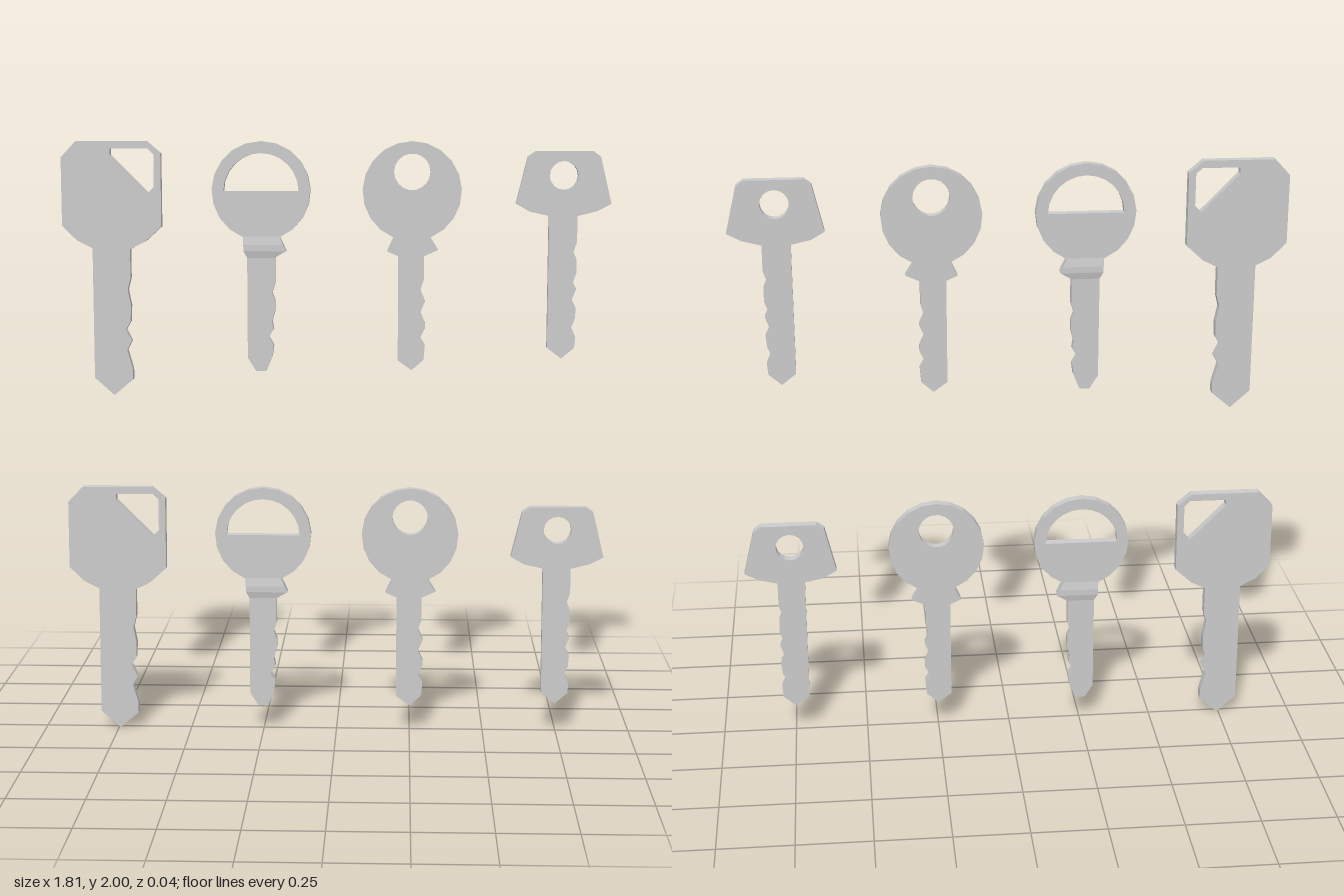
import * as THREE from 'three';

const HALF = 0.016; // half thickness of a key blank
const material = new THREE.MeshStandardMaterial({ color: 0xcccccc, flatShading: true });

// Points along an arc, angles in degrees
function arc(cx, cy, r, from, to, steps) {
  return Array.from({ length: steps + 1 }, (_, i) => {
    const a = THREE.MathUtils.degToRad(from + (to - from) * i / steps);
    return [cx + r * Math.cos(a), cy + r * Math.sin(a)];
  });
}
const circle = (cx, cy, r, n) => arc(cx, cy, r, 0, 360, n).slice(0, n);
const toVectors = pts => pts.map(([x, y]) => new THREE.Vector2(x, y));

// Flat plate with one hole
function plate(outline, hole) {
  const shape = new THREE.Shape(toVectors(outline));
  shape.holes.push(new THREE.Path(toVectors(hole)));
  const geo = new THREE.ExtrudeGeometry(shape, { depth: 2 * HALF, bevelEnabled: false });
  return geo.translate(0, 0, -HALF);
}

// Loft of rectangular sections [y, left, right, half depth], listed from bottom to top
function loft(rows) {
  const pos = [], idx = [];
  for (const [y, l, r, d] of rows) pos.push(l, y, d, r, y, d, r, y, -d, l, y, -d);
  for (let i = 0; i < rows.length - 1; i++) {
    for (let k = 0; k < 4; k++) {
      const a = i * 4 + k, b = i * 4 + (k + 1) % 4;
      idx.push(a, b, b + 4, a, b + 4, a + 4);
    }
  }
  const geo = new THREE.BufferGeometry();
  geo.setAttribute('position', new THREE.Float32BufferAttribute(pos, 3));
  geo.setIndex(idx);
  geo.computeVertexNormals();
  return geo;
}

// Outlines run anticlockwise: head, left edge, tip, then up the cut edge
const octagonKey = plate([
  [-0.685, 1.645], [-0.635, 1.67], [-0.58, 1.72], [-0.58, 1.96], [-0.627, 2], [-0.86, 2],
  [-0.91, 1.947], [-0.91, 1.722], [-0.86, 1.673], [-0.81, 1.648],
  [-0.81, 1.215], [-0.745, 1.157], [-0.682, 1.21],
  [-0.682, 1.245], [-0.7, 1.31], [-0.684, 1.34], [-0.703, 1.378], [-0.687, 1.405],
  [-0.685, 1.458], [-0.695, 1.51], [-0.685, 1.55],
], [
  [-0.747, 1.976], [-0.622, 1.976], [-0.603, 1.957], [-0.603, 1.85], [-0.623, 1.83], [-0.747, 1.955],
]);

const collarKey = plate([
  [-0.204, 1.618], [-0.167, 1.64],
  ...arc(-0.249, 1.837, 0.163, -68, 248, 18),
  [-0.308, 1.64], [-0.296, 1.618],
  [-0.296, 1.285], [-0.268, 1.24], [-0.235, 1.24], [-0.214, 1.29],
  [-0.209, 1.327], [-0.225, 1.354], [-0.209, 1.38], [-0.214, 1.407], [-0.204, 1.443],
  [-0.204, 1.476], [-0.214, 1.502], [-0.204, 1.534],
], arc(-0.249, 1.837, 0.124, 0, 180, 12));

const collarRidge = loft([
  [1.618, -0.296, -0.204, HALF],
  [1.64, -0.308, -0.167, 0.021],
  [1.66, -0.308, -0.176, 0.021],
  [1.688, -0.308, -0.19, HALF],
]);

const roundKey = plate([
  [0.289, 1.624], [0.336, 1.645],
  ...arc(0.249, 1.837, 0.163, -68, 248, 18),
  [0.167, 1.64], [0.204, 1.624],
  [0.204, 1.278], [0.25, 1.245], [0.29, 1.28],
  [0.294, 1.327], [0.278, 1.354], [0.294, 1.385], [0.294, 1.402],
  [0.278, 1.438], [0.294, 1.475], [0.278, 1.512], [0.289, 1.545],
], circle(0.249, 1.9, 0.06, 18));

const wedgeKey = plate([
  [0.792, 1.757], [0.855, 1.773], [0.902, 1.797], [0.865, 1.95], [0.84, 1.968],
  [0.653, 1.968], [0.627, 1.95], [0.59, 1.797], [0.635, 1.771], [0.699, 1.757],
  [0.699, 1.322], [0.746, 1.286], [0.789, 1.322],
  [0.792, 1.359], [0.778, 1.39], [0.789, 1.417], [0.792, 1.454], [0.778, 1.481],
  [0.792, 1.518], [0.781, 1.539], [0.792, 1.571], [0.792, 1.613], [0.781, 1.64], [0.792, 1.672],
], circle(0.746, 1.889, 0.047, 16));

// Each key with the drop to its copy in the lower row
const KEYS = [
  { name: 'octagonHeadKey', drop: 1.157, parts: { keyBlank: octagonKey } },
  { name: 'collarKey', drop: 1.157, parts: { keyBlank: collarKey, collarRidge } },
  { name: 'roundHeadKey', drop: 1.157, parts: { keyBlank: roundKey } },
  { name: 'wedgeHeadKey', drop: 1.186, parts: { keyBlank: wedgeKey } },
];

export function createModel() {
  const model = new THREE.Group();
  model.name = 'keySet';
  for (const row of ['upper', 'lower']) {
    const rowGroup = new THREE.Group();
    rowGroup.name = row + 'Row';
    for (const { name, drop, parts } of KEYS) {
      const key = new THREE.Group();
      key.name = name;
      key.position.y = row === 'lower' ? -drop : 0;
      for (const [part, geo] of Object.entries(parts)) {
        const mesh = new THREE.Mesh(geo, material);
        mesh.name = part;
        key.add(mesh);
      }
      rowGroup.add(key);
    }
    model.add(rowGroup);
  }
  return model;
}
